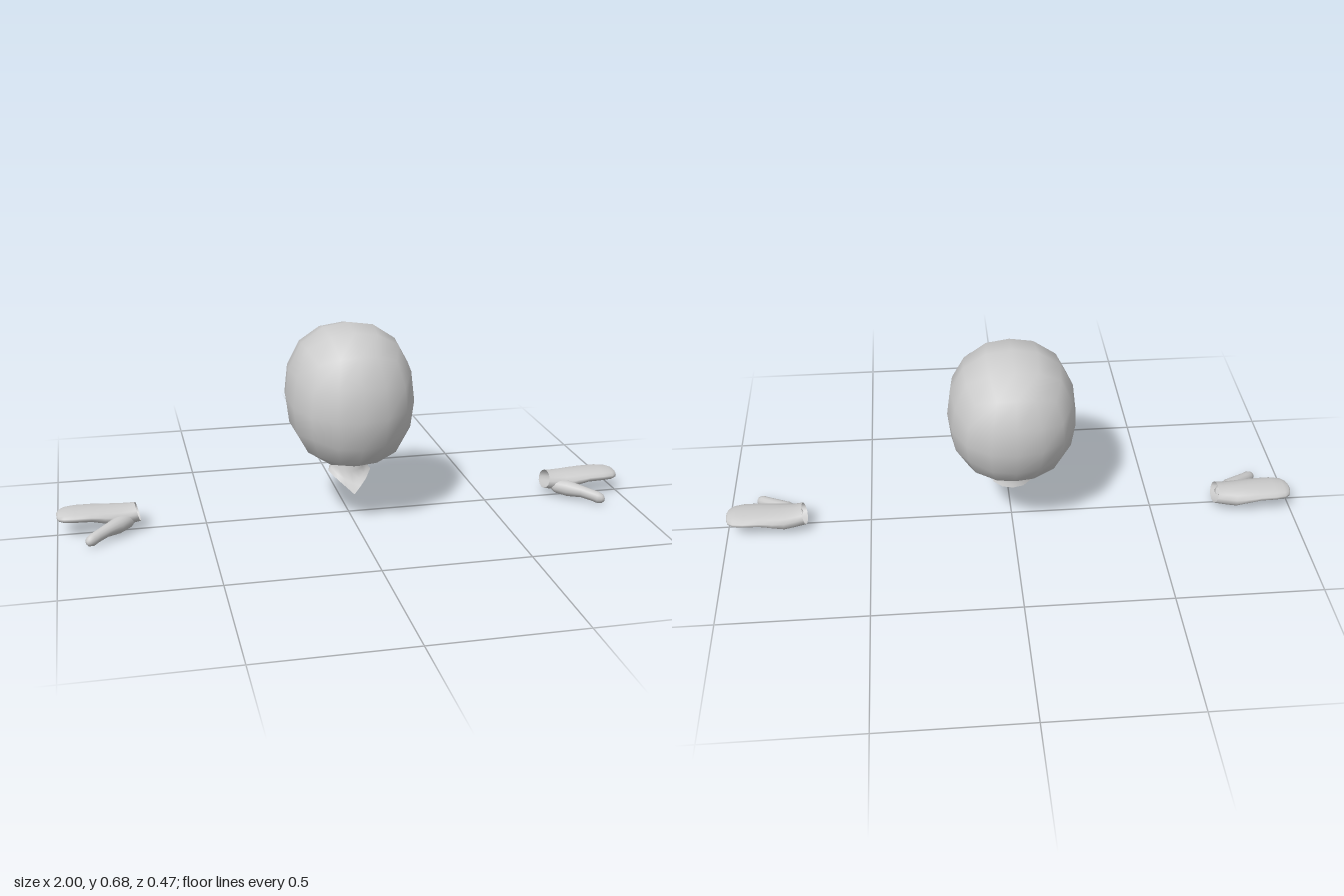
import * as THREE from 'three';
import { mergeVertices } from 'three/addons/utils/BufferGeometryUtils.js';

const V = (x, y, z) => new THREE.Vector3(x, y, z);
const material = new THREE.MeshStandardMaterial({ color: 0xcccccc, side: THREE.DoubleSide });

// Skin through a list of closed rings, all with the same number of points.
function loft(rings) {
  const n = rings[0].length;
  const index = [];
  for (let i = 0; i < rings.length - 1; i++) {
    for (let j = 0; j < n; j++) {
      const a = i * n + j, b = i * n + (j + 1) % n;
      index.push(a, b, a + n, b, b + n, a + n);
    }
  }
  const geometry = new THREE.BufferGeometry().setFromPoints(rings.flat());
  geometry.setIndex(index);
  geometry.computeVertexNormals();
  return geometry;
}

// Elliptical ring facing along `heading` in the ground plane; `tilt` slants it.
function ring([x, y, z, wide, high], heading, tilt = 0, sides = 14) {
  return Array.from({ length: sides }, (_, i) => {
    const t = (i / sides) * Math.PI * 2, s = Math.sin(t) * wide, c = Math.cos(t);
    return V(x - s * Math.sin(heading) + c * tilt, y + c * high, z + s * Math.cos(heading));
  });
}

function addMesh(parent, name, geometry) {
  const mesh = new THREE.Mesh(geometry, material);
  mesh.name = name;
  parent.add(mesh);
}

// Head: a cube rounded to a ball, then fitted to its side outline [z, y].
function headGeometry() {
  const outline = new THREE.CatmullRomCurve3([
    [0.237, 0.405], [0.225, 0.515], [0.175, 0.61], [0.09, 0.67],
    [-0.01, 0.685], [-0.115, 0.66], [-0.19, 0.6], [-0.23, 0.51],
    [-0.235, 0.415], [-0.21, 0.328], [-0.165, 0.265], [-0.09, 0.225],
    [0, 0.21], [0.09, 0.204], [0.17, 0.235], [0.22, 0.305],
  ].map(([z, y]) => V(0, y, z)), true, 'catmullrom');
  const centre = V(0, 0.44, 0);
  let geometry = new THREE.BoxGeometry(2, 2, 2, 4, 4, 4);
  geometry.deleteAttribute('uv');
  geometry.deleteAttribute('normal');
  geometry = mergeVertices(geometry);
  const pos = geometry.attributes.position;
  const p = V(0, 0, 0);
  for (let i = 0; i < pos.count; i++) {
    p.fromBufferAttribute(pos, i);
    p.set(...p.toArray().map((v) => Math.tan(v * Math.PI / 4))).normalize();
    const r = Math.hypot(p.y, p.z);
    // slightly boxier than an ellipse across the width
    const k = 1 / Math.pow(Math.abs(p.x) ** 2.3 + r ** 2.3, 1 / 2.3);
    const turn = (Math.atan2(p.y, p.z) / (Math.PI * 2) + 1) % 1;
    const q = outline.getPoint(turn).sub(centre).multiplyScalar(r * k).add(centre);
    pos.setXYZ(i, 0.218 * p.x * k, q.y, q.z);
  }
  geometry.computeVertexNormals();
  return geometry;
}

// Neck: half rings from front to back, mirrored, flaring to a pointed bib.
function neckGeometry() {
  const halves = [
    [[0, 0.104, 0.097], [0.027, 0.128, 0.08], [0.05, 0.147, 0.058], [0.074, 0.165, 0.015],
      [0.064, 0.167, -0.03], [0.036, 0.165, -0.058], [0, 0.165, -0.067]],
    [[0, 0.135, 0.068], [0.025, 0.147, 0.058], [0.047, 0.16, 0.042], [0.064, 0.176, 0.01],
      [0.058, 0.178, -0.028], [0.034, 0.178, -0.055], [0, 0.178, -0.064]],
    [[0, 0.168, 0.046], [0.023, 0.172, 0.042], [0.042, 0.178, 0.03], [0.056, 0.188, 0.004],
      [0.053, 0.19, -0.028], [0.032, 0.19, -0.053], [0, 0.19, -0.062]],
    [[0, 0.225, 0.045], [0.023, 0.225, 0.041], [0.041, 0.225, 0.028], [0.055, 0.225, 0.002],
      [0.051, 0.23, -0.028], [0.031, 0.235, -0.052], [0, 0.237, -0.062]],
  ];
  return loft(halves.map((half) => {
    const right = half.slice(1, -1).reverse().map(([x, y, z]) => V(-x, y, z));
    return [...half.map((c) => V(...c)), ...right];
  }));
}

// Hand sections along the arm: x, y, z, half width, half height.
const MITTEN = [
  [0.73, 0.06, -0.016, 0.049, 0.03],
  [0.765, 0.055, -0.018, 0.052, 0.033],
  [0.8, 0.054, -0.02, 0.059, 0.034],
  [0.84, 0.06, -0.021, 0.062, 0.028],
  [0.885, 0.066, -0.021, 0.062, 0.022],
  [0.94, 0.067, -0.021, 0.062, 0.021],
  [0.975, 0.066, -0.021, 0.055, 0.019],
  [0.993, 0.065, -0.021, 0.04, 0.014],
  [1, 0.065, -0.021, 0.02, 0.007],
  [1, 0.065, -0.021, 0, 0],
];
const THUMB = [
  [0.745, 0.046, 0.005, 0.012, 0.012],
  [0.765, 0.042, 0.015, 0.024, 0.025],
  [0.8, 0.039, 0.042, 0.028, 0.028],
  [0.84, 0.036, 0.075, 0.021, 0.021],
  [0.87, 0.029, 0.099, 0.019, 0.02],
  [0.888, 0.024, 0.114, 0.019, 0.021],
  [0.9, 0.022, 0.123, 0.014, 0.015],
  [0.905, 0.021, 0.127, 0.006, 0.007],
  [0.905, 0.021, 0.127, 0, 0],
];

function makeHand(side, name) {
  const hand = new THREE.Group();
  hand.name = name;
  // the right hand flips x and reverses each ring to keep faces outward
  const mirror = (rings) => (side > 0 ? rings
    : rings.map((r) => r.map((p) => V(-p.x, p.y, p.z)).reverse()));
  addMesh(hand, 'mitten', loft(mirror(MITTEN.map((s, i) => ring(s, 0, i ? 0 : 0.009)))));
  addMesh(hand, 'thumb', loft(mirror(THUMB.map((s) => ring(s, 0.68)))));
  return hand;
}

export function createModel() {
  const model = new THREE.Group();
  model.name = 'headAndHands';
  addMesh(model, 'head', headGeometry());
  addMesh(model, 'neck', neckGeometry());
  model.add(makeHand(1, 'leftHand'), makeHand(-1, 'rightHand'));
  return model;
}
